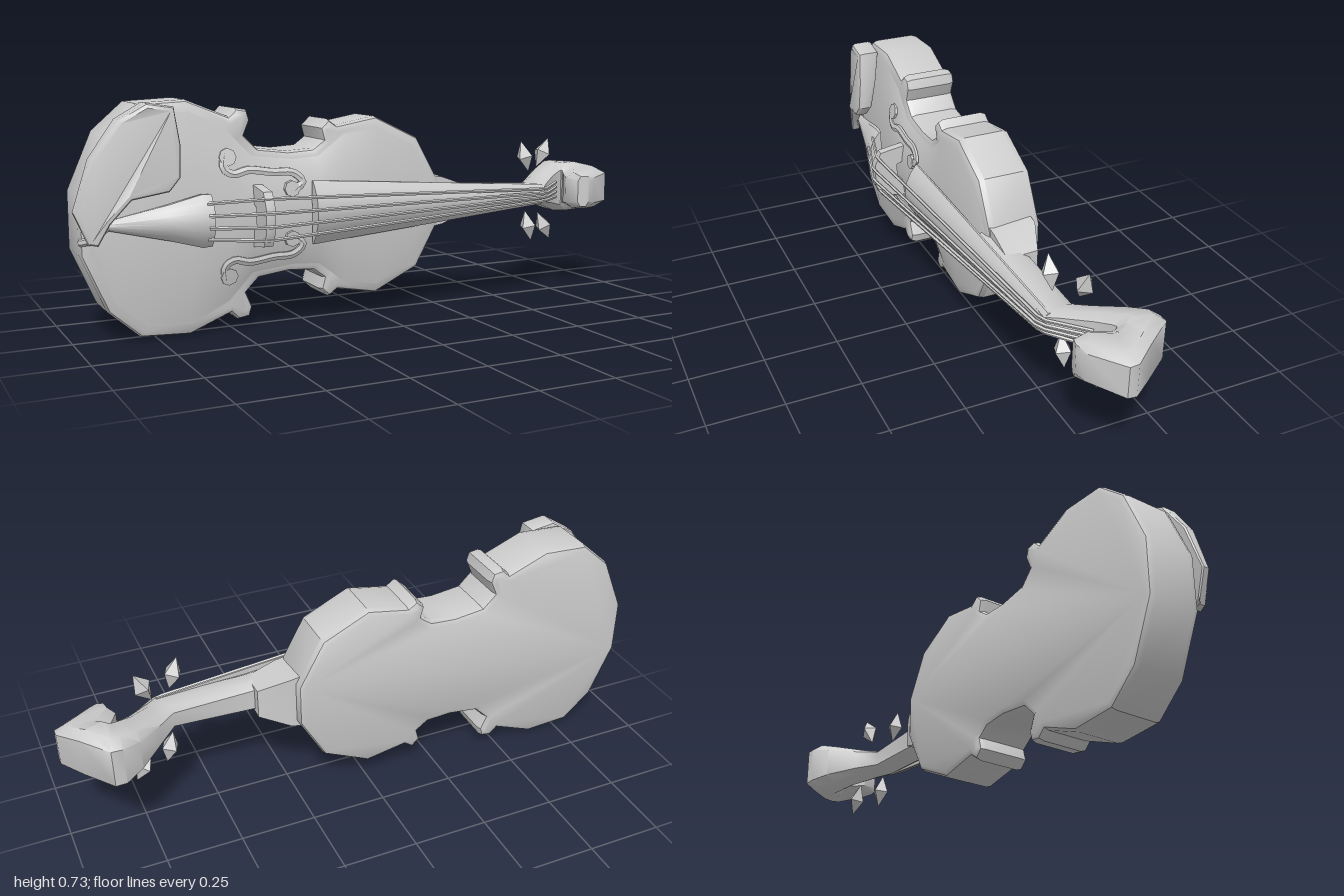
import * as THREE from 'three';
import { toCreasedNormals } from 'three/addons/utils/BufferGeometryUtils.js';

const CY = 0.37; // height of the instrument's centre line
const grey = new THREE.MeshStandardMaterial({ color: 0xcccccc });
grey.name = 'plain grey';

// Skin a row of closed rings ([x, y, z] points) and cap both ends
function loft(rings) {
  const n = rings[0].length, idx = [];
  for (let r = 0; r < rings.length - 1; r++) {
    for (let i = 0; i < n; i++) {
      const a = r * n + i, b = r * n + (i + 1) % n;
      idx.push(a, b, b + n, a, b + n, a + n);
    }
  }
  const end = (rings.length - 1) * n;
  for (let i = 1; i < n - 1; i++) idx.push(0, i + 1, i, end, end + i, end + i + 1);
  const g = new THREE.BufferGeometry();
  g.setAttribute('position', new THREE.Float32BufferAttribute(rings.flat(2), 3));
  g.setIndex(idx);
  return g;
}

// Flat-bottomed ring with an arched top
function archRing(x, w, bottom, side, rise, steps = 8) {
  const ring = [];
  for (let i = 0; i <= steps; i++) {
    const c = Math.cos(Math.PI * i / steps);
    ring.push([x, w * c, side + rise * (1 - c * c)]);
  }
  ring.push([x, -w, bottom], [x, w, bottom]);
  return ring;
}

// Chamfered ring between a back point and a front point in the xz plane
function boxRing([ax, az, bx, bz, w]) {
  const corners = [[1, 0.25], [1, 0.75], [0.7, 1], [-0.7, 1], [-1, 0.75], [-1, 0.25], [-0.7, 0], [0.7, 0]];
  return corners.map(([s, t]) => [ax + (bx - ax) * t, s * w, az + (bz - az) * t]);
}

const toShape = pts => new THREE.Shape(pts.map(p => new THREE.Vector2(p[0], p[1])));

export function createModel() {
  const model = new THREE.Group();
  model.name = 'violin';
  const add = (name, geo, crease = 0.6) => {
    const mesh = new THREE.Mesh(toCreasedNormals(geo, crease), grey);
    mesh.name = name;
    mesh.position.y = CY;
    model.add(mesh);
    return mesh;
  };

  // Sound box: mirrored half outline with bevelled rims
  const half = [[-0.978, 0.09], [-0.90, 0.27], [-0.80, 0.358], [-0.645, 0.366], [-0.51, 0.312],
    [-0.485, 0.336], [-0.447, 0.33], [-0.437, 0.297], [-0.457, 0.25], [-0.415, 0.208], [-0.313, 0.195],
    [-0.227, 0.2], [-0.19, 0.227], [-0.2, 0.265], [-0.17, 0.293], [-0.14, 0.272], [0, 0.297],
    [0.158, 0.222], [0.243, 0.07]];
  const outline = [...half.map(([x, y]) => [x, -y]), ...half.slice().reverse()];
  const body = new THREE.ExtrudeGeometry(toShape(outline), {
    depth: 0.137, bevelThickness: 0.025, bevelSize: 0.02, bevelOffset: -0.02, bevelSegments: 2 });
  body.translate(0, 0, -0.107);
  add('body', body);

  // Gently arched front plate: x, half width, rise
  const plate = [[-0.95, 0.08, 0.004], [-0.88, 0.24, 0.02], [-0.78, 0.325, 0.03], [-0.64, 0.33, 0.035],
    [-0.52, 0.27, 0.037], [-0.44, 0.185, 0.038], [-0.3, 0.17, 0.038], [-0.21, 0.175, 0.036],
    [-0.12, 0.245, 0.033], [0, 0.265, 0.028], [0.14, 0.195, 0.016], [0.215, 0.07, 0.004]];
  add('archedFront', loft(plate.map(([x, w, h]) => archRing(x, w, 0.045, 0.055, h, 12))), 0.8);

  // Sound holes: flat S-shaped ribbons with round ends, following the arch
  const onArch = (g, thick) => {
    const p = g.attributes.position;
    for (let i = 0; i < p.count; i++) {
      p.setZ(i, p.getZ(i) * thick + 0.056 + 0.038 * (1 - (p.getY(i) / 0.25) ** 2));
    }
    return g;
  };
  for (const s of [1, -1]) {
    const name = s > 0 ? 'upper' : 'lower';
    const path = new THREE.CatmullRomCurve3([[-0.535, 0.2], [-0.54, 0.155], [-0.51, 0.135], [-0.46, 0.145],
      [-0.38, 0.135], [-0.31, 0.13], [-0.28, 0.1], [-0.31, 0.075]].map(([x, y]) => new THREE.Vector3(x, s * y, 0)));
    add(name + 'SoundHole', onArch(new THREE.TubeGeometry(path, 28, 0.014, 6), 0.6));
    for (const [x, y, r] of [[-0.525, 0.188, 0.028], [-0.318, 0.08, 0.026]]) {
      const dot = new THREE.CylinderGeometry(r, r, 0.02, 8).rotateX(Math.PI / 2).translate(x, s * y, 0);
      add(name + 'SoundHoleEnd', onArch(dot, 0.8));
    }
  }

  // Chin rest: a cup sloping down to the body's edge
  const cup = new THREE.ExtrudeGeometry(toShape([[-0.96, -0.05], [-0.935, -0.055], [-0.9, 0.01], [-0.84, 0.08],
    [-0.73, 0.1], [-0.695, 0.14], [-0.69, 0.24], [-0.705, 0.35], [-0.79, 0.363], [-0.87, 0.315],
    [-0.95, 0.2], [-1, 0.045]]), {
    depth: 0.6, bevelThickness: 0.2, bevelSize: 0.014, bevelOffset: -0.014, bevelSegments: 2 });
  const cp = cup.attributes.position;
  for (let i = 0; i < cp.count; i++) {
    const inward = Math.min(1, (0.365 - cp.getY(i)) / 0.27);
    const edge = Math.max(0, (-0.8 - cp.getX(i)) / 0.2);
    const low = 0.055 + 0.05 * inward - 0.05 * edge, high = 0.135 + 0.02 * inward - 0.07 * edge;
    cp.setZ(i, low + (high - low) * (cp.getZ(i) + 0.2));
  }
  add('chinRest', cup);

  // Tailpiece and its gut loop
  add('tailpiece', loft([archRing(-0.92, 0.01, 0.065, 0.075, 0.01), archRing(-0.72, 0.055, 0.085, 0.1, 0.03),
    archRing(-0.62, 0.082, 0.1, 0.112, 0.04), archRing(-0.59, 0.08, 0.105, 0.112, 0.038)]));
  add('tailLoop', new THREE.TubeGeometry(new THREE.CatmullRomCurve3([new THREE.Vector3(-0.9, 0, 0.08),
    new THREE.Vector3(-0.95, -0.04, 0.07), new THREE.Vector3(-0.975, -0.05, 0.04)]), 6, 0.012, 6));

  // Bridge: arched plate with two feet
  const bridge = new THREE.ExtrudeGeometry(toShape([[-0.1, 0.07], [-0.045, 0.07], [-0.03, 0.11], [0.03, 0.11],
    [0.045, 0.07], [0.1, 0.07], [0.085, 0.17], [0.04, 0.193], [-0.04, 0.193], [-0.085, 0.17]]),
  { depth: 0.03, bevelEnabled: false });
  bridge.applyMatrix4(new THREE.Matrix4().makeBasis(
    new THREE.Vector3(0, 1, 0), new THREE.Vector3(0, 0, 1), new THREE.Vector3(1, 0, 0)));
  bridge.translate(-0.445, 0, 0);
  add('bridge', bridge);

  // Fingerboard
  add('fingerboard', loft([archRing(-0.25, 0.103, 0.095, 0.1, 0.045), archRing(0.66, 0.035, 0.055, 0.062, 0.02)]));

  // Neck heel
  add('neckHeel', loft([[0.2, 0.1, -0.1], [0.26, 0.09, -0.1], [0.36, 0.05, -0.06]].map(([x, w, z]) =>
    [[x, w, z], [x, w * 0.9, 0.045], [x, -w * 0.9, 0.045], [x, -w, z]])));

  // Neck running into the hooked head: back x, z, front x, z, half width
  add('neckAndHead', loft([
    [0.2, -0.03, 0.2, 0.085, 0.06], [0.36, -0.03, 0.36, 0.075, 0.05], [0.63, -0.03, 0.66, 0.075, 0.036],
    [0.69, -0.09, 0.695, 0.04, 0.048], [0.77, -0.165, 0.77, -0.025, 0.072], [0.83, -0.2, 0.82, -0.055, 0.09],
    [0.866, -0.2, 0.832, -0.06, 0.092], [0.94, -0.105, 0.836, -0.058, 0.09], [0.995, -0.035, 0.835, -0.05, 0.078],
    [0.995, -0.005, 0.825, -0.035, 0.074], [0.89, 0.065, 0.8, 0.015, 0.066], [0.855, 0.08, 0.815, 0.068, 0.055],
  ].map(boxRing)), 0.8);

  // Strings: tailpiece, bridge, nut, head
  for (const k of [-1.5, -0.5, 0.5, 1.5]) {
    const drop = Math.abs(k) > 1 ? 0.016 : 0;
    const pts = [[-0.61, k * 0.037, 0.148 - drop], [-0.43, k * 0.043, 0.196 - drop],
      [0.66, k * 0.014, 0.09 - drop * 0.4], [0.78, k * 0.018, -0.02]].map(p => new THREE.Vector3(...p));
    const path = new THREE.CurvePath();
    for (let i = 0; i < 3; i++) path.add(new THREE.LineCurve3(pts[i], pts[i + 1]));
    add('string', new THREE.TubeGeometry(path, 40, 0.006, 5));
  }

  // Peg knobs: x, y, z, tilt
  for (const [x, y, z, tilt] of [[0.605, 0.135, 0.03, 0.3], [0.715, 0.14, -0.02, -0.45],
    [0.645, -0.122, 0, 0.25], [0.745, -0.135, -0.045, 0.5]]) {
    const knob = new THREE.OctahedronGeometry(1).scale(0.033, 0.058, 0.033);
    add('pegKnob', knob.rotateY(0.4).rotateZ(tilt).translate(x, y, z), 0.1);
  }
  return model;
}
